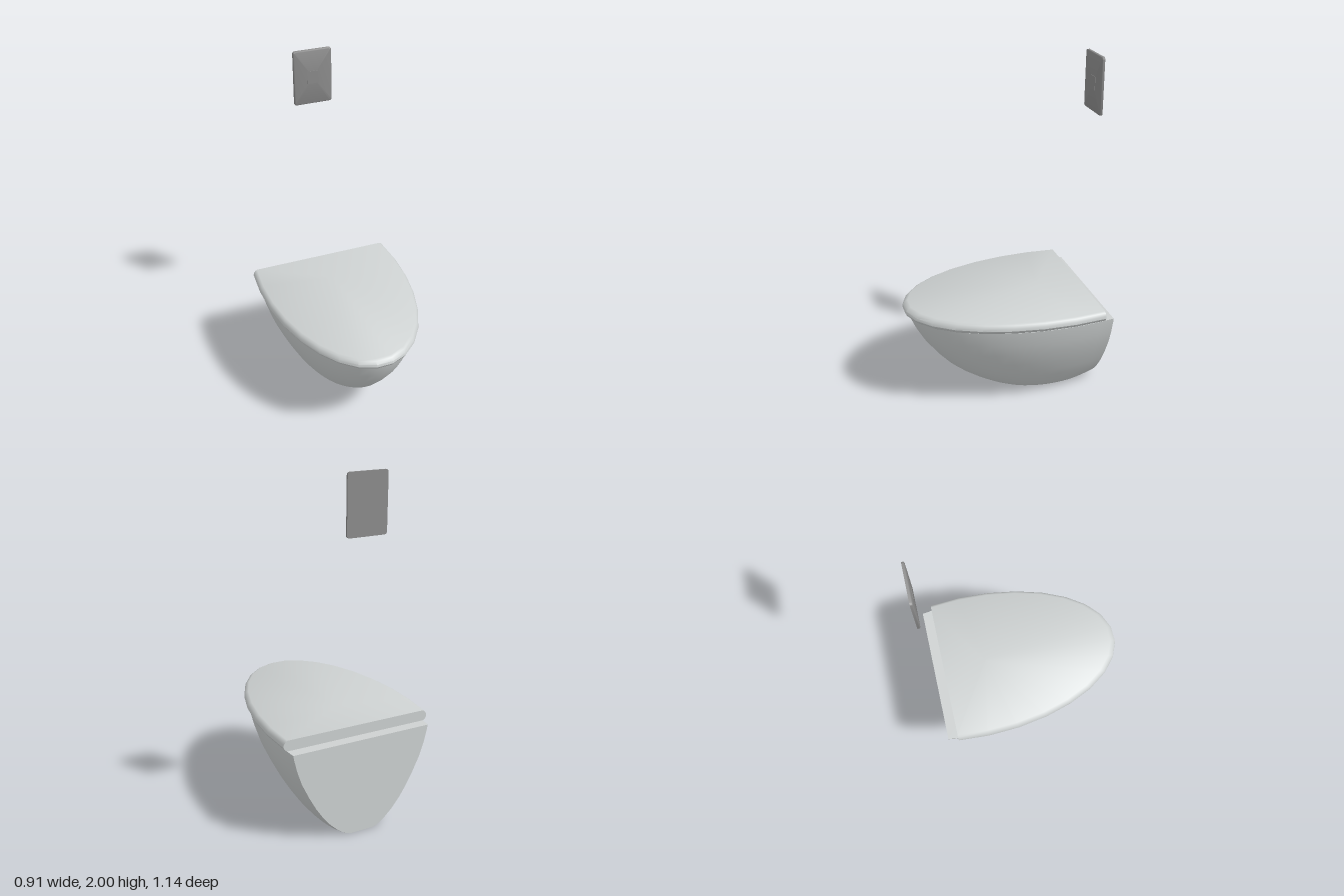
import * as THREE from 'three';
import { toCreasedNormals } from 'three/addons/utils/BufferGeometryUtils.js';

const white = new THREE.MeshStandardMaterial({ color: 0xcdd1d1 });
white.name = 'white ceramic';
const grey = new THREE.MeshStandardMaterial({ color: 0x8c8c8c });
grey.name = 'grey metal';

const CENTRE_Z = -0.31;

// Skin a stack of equal-length counter-clockwise rings and close both ends.
function loft(rings, startCentre, endCentre, crease = 0.6) {
  const n = rings[0].length;
  const positions = rings.flat(2);
  const index = [];
  for (let i = 0; i < rings.length - 1; i++) {
    for (let j = 0; j < n; j++) {
      const k = (j + 1) % n;
      const a = i * n + j, b = i * n + k, c = a + n, d = b + n;
      index.push(a, b, d, a, d, c);
    }
  }
  const start = rings.length * n, end = start + 1, last = start - n;
  positions.push(...startCentre, ...endCentre);
  for (let j = 0; j < n; j++) {
    const k = (j + 1) % n;
    index.push(start, k, j, end, last + j, last + k);
  }
  const geometry = new THREE.BufferGeometry();
  geometry.setAttribute('position', new THREE.Float32BufferAttribute(positions, 3));
  geometry.setIndex(index);
  return toCreasedNormals(geometry, crease);
}

// Horizontal ellipse cut off flat at the back.
function cutEllipse(y, halfWidth, front, back, count) {
  const depth = front - CENTRE_Z;
  const limit = Math.acos(Math.max(-1, (back - CENTRE_Z) / depth));
  return Array.from({ length: count }, (_, i) => {
    const t = limit * (2 * i / (count - 1) - 1);
    return [halfWidth * Math.sin(t), y, CENTRE_Z + depth * Math.cos(t)];
  });
}

// Upright rounded rectangle at depth z.
function roundedRect(halfW, halfH, radius, y, z) {
  const ring = [];
  for (let corner = 0; corner < 4; corner++) {
    const sx = corner === 0 || corner === 3 ? 1 : -1;
    const sy = corner < 2 ? 1 : -1;
    for (let s = 0; s <= 4; s++) {
      const t = (corner + s / 4) * Math.PI / 2;
      ring.push([
        sx * (halfW - radius) + radius * Math.cos(t),
        y + sy * (halfH - radius) + radius * Math.sin(t),
        z,
      ]);
    }
  }
  return ring;
}

export function createModel() {
  const model = new THREE.Group();
  model.name = 'wallHungToilet';
  const add = (name, geometry, material) => {
    const mesh = new THREE.Mesh(geometry, material);
    mesh.name = name;
    model.add(mesh);
  };

  // Bowl: [height, half width, front reach]
  const bowlProfile = [
    [0.0, 0.145, -0.01], [0.01, 0.168, 0.015], [0.04, 0.195, 0.08], [0.09, 0.235, 0.165],
    [0.15, 0.275, 0.25], [0.21, 0.31, 0.32], [0.29, 0.35, 0.39], [0.38, 0.39, 0.456],
    [0.46, 0.415, 0.5], [0.535, 0.432, 0.533], [0.56, 0.436, 0.54],
  ];
  add('bowl', loft(
    bowlProfile.map(([y, w, f]) => cutEllipse(y, w, f, -0.57, 34)),
    [0, 0, -0.35], [0, 0.56, -0.2],
  ), white);

  // Lid with a rounded rim and a faintly domed top
  const lidProfile = [
    [0.557, 0.43, 0.545], [0.57, 0.447, 0.562], [0.585, 0.455, 0.57],
    [0.6, 0.453, 0.567], [0.615, 0.443, 0.552], [0.622, 0.431, 0.538],
  ];
  add('lid', loft(
    lidProfile.map(([y, w, f]) => cutEllipse(y, w, f, -0.51, 18)),
    [0, 0.557, -0.2], [0, 0.63, -0.25],
  ), white);

  // Flush plate high on the wall
  const plateY = 1.8375;
  add('flushPlate', loft([
    roundedRect(0.114, 0.1625, 0.014, plateY, -0.57),
    roundedRect(0.114, 0.1625, 0.014, plateY, -0.56),
    roundedRect(0.112, 0.1605, 0.012, plateY, -0.556),
    roundedRect(0.107, 0.1555, 0.01, plateY, -0.554),
  ], [0, plateY, -0.57], [0, plateY, -0.554], 0.9), grey);

  // Small square button
  const button = new THREE.BoxGeometry(0.065, 0.075, 0.003);
  button.translate(0, plateY, -0.5535);
  add('flushButton', button, grey);

  return model;
}
